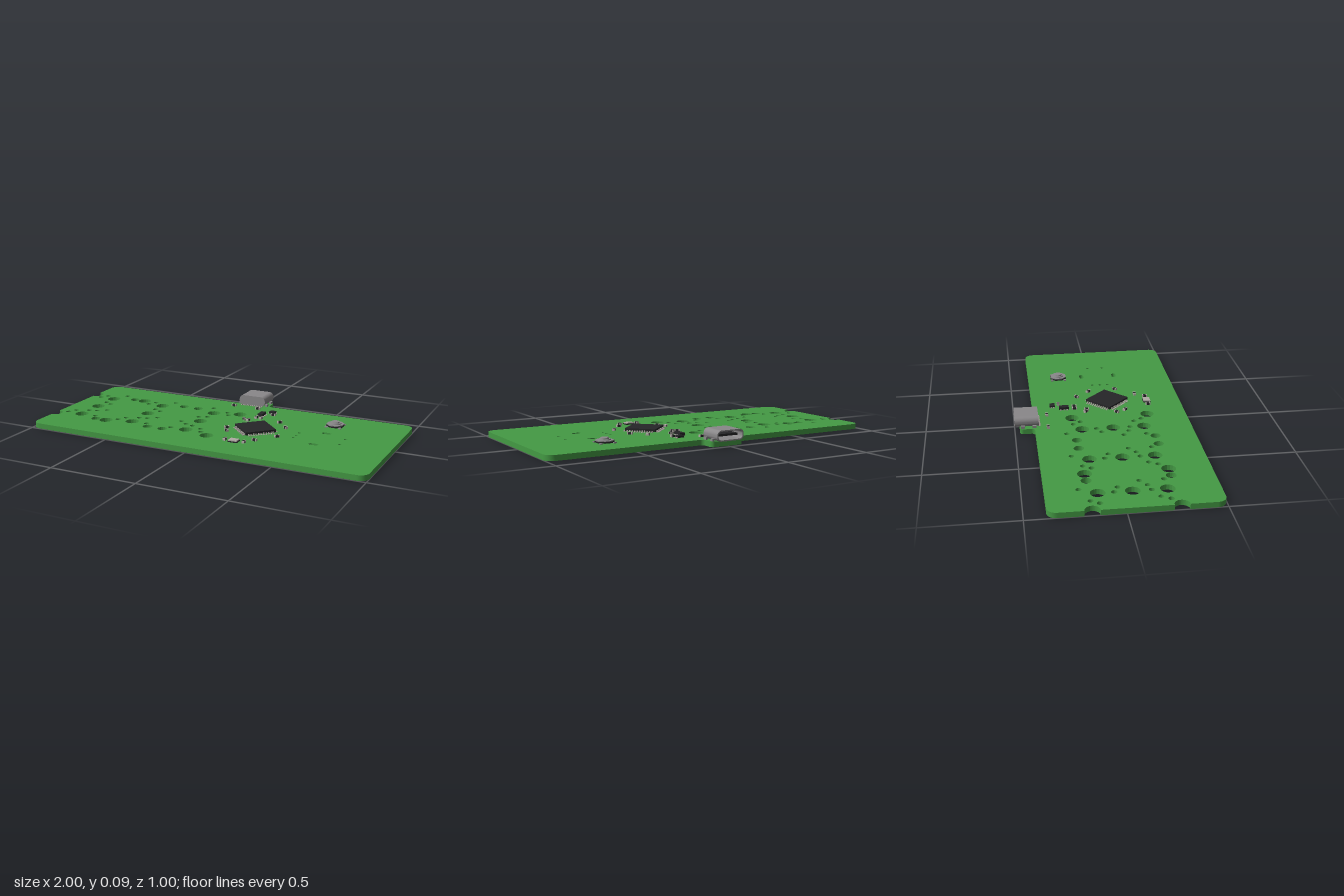
import * as THREE from 'three';

const T = 0.03; // board thickness

function material(name, color) {
  const m = new THREE.MeshStandardMaterial({ color });
  m.name = name;
  return m;
}

function roundedRect(path, w, h, r) {
  const x = w / 2 - r, y = h / 2 - r;
  path.absarc(x, y, r, 0, Math.PI / 2);
  path.absarc(-x, y, r, Math.PI / 2, Math.PI);
  path.absarc(-x, -y, r, Math.PI, Math.PI * 1.5);
  path.absarc(x, -y, r, Math.PI * 1.5, Math.PI * 2);
  path.closePath();
  return path;
}

// Outline in x and z, with a connector tab at the back and two edge notches
function boardShape() {
  const s = new THREE.Shape(), P = Math.PI, f = 0.497, b = -0.388, r = 0.05;
  s.absarc(1 - r, f - r, r, 0, P / 2);
  s.absarc(-1 + r, f - r, r, P / 2, P);
  for (const z of [0.27, -0.168]) s.absarc(-0.996, z, 0.039, P / 2 + 0.1, -P / 2 - 0.1, true);
  s.absarc(-1 + r, b + r, r, P, P * 1.5);
  s.absarc(-0.12, b - 0.02, 0.02, P / 2, 0, true);
  s.absarc(-0.08, -0.452, 0.02, P, P * 1.5);
  s.absarc(0.08, -0.452, 0.02, P * 1.5, P * 2);
  s.absarc(0.12, b - 0.02, 0.02, P, P / 2, true);
  s.absarc(1 - r, b + r, r, P * 1.5, P * 2);
  s.closePath();

  const hole = (x, z, rad) => {
    const p = new THREE.Path();
    p.absarc(x, z, rad, 0, P * 2, true);
    s.holes.push(p);
  };
  // Switch footprint [dx, dz, radius]; the third one is mirrored
  const footprint = [
    [0, 0, 0.039], [0, -0.176, 0.039], [0, 0.176, 0.039], [-0.152, -0.219, 0.039], [-0.152, 0.219, 0.039],
    [0.128, -0.219, 0.028], [0.128, 0.219, 0.028],
    [-0.096, -0.176, 0.016], [-0.096, 0.176, 0.016], [0.096, 0.176, 0.016],
    [-0.07, -0.219, 0.015], [-0.07, 0.13, 0.015], [0.045, -0.267, 0.015],
    [0, -0.093, 0.016], [0.045, -0.07, 0.015], [0.096, 0.048, 0.015], [0.048, 0.083, 0.015], [0, 0.096, 0.016],
  ];
  [[-0.842, 1], [-0.492, 1], [-0.14, -1]].forEach(([cx, m]) => {
    for (const [dx, dz, rad] of footprint) {
      if (cx + m * dx > -0.96) hole(cx + m * dx, 0.051 + dz, rad);
    }
  });
  // Encoder holes and slots
  for (const z of [0.005, 0.051, 0.098]) hole(0.458, z, 0.009);
  for (const z of [0.005, 0.098]) hole(0.726, z, 0.009);
  for (const z of [-0.051, 0.155]) {
    const p = new THREE.Path();
    p.absarc(0.61, z, 0.013, P / 2, -P / 2, true);
    p.absarc(0.583, z, 0.013, -P / 2, -P * 1.5, true);
    p.closePath();
    s.holes.push(p);
  }
  return s;
}

export function createModel() {
  const root = new THREE.Group();
  const green = material('board green', 0x449a44);
  const black = material('chip black', 0x262628);
  const steel = material('steel grey', 0x8a888a);
  const tin = material('solder silver', 0xb0aaa4);

  const part = (name, x = 0, z = 0, turn = 0) => {
    const g = new THREE.Group();
    g.name = name;
    g.position.set(x, T, z);
    g.rotation.y = turn;
    root.add(g);
    return g;
  };
  const add = (parent, name, geometry, mat, x = 0, y = 0, z = 0) => {
    const m = new THREE.Mesh(geometry, mat);
    m.name = name;
    m.position.set(x, y, z);
    parent.add(m);
    return m;
  };
  // Box resting at height y
  const box = (parent, name, mat, w, h, d, x = 0, y = 0, z = 0) =>
    add(parent, name, new THREE.BoxGeometry(w, h, d), mat, x, y + h / 2, z);

  // Circuit board
  const boardGeo = new THREE.ExtrudeGeometry(boardShape(), { depth: T, bevelEnabled: false, curveSegments: 8 });
  boardGeo.rotateX(Math.PI / 2);
  add(root, 'circuitBoard', boardGeo, green, 0, T, 0);

  // Connector: hollow shell open to the back, with a tongue and legs
  const port = part('connector', 0, -0.5);
  const ring = roundedRect(new THREE.Shape(), 0.168, 0.06, 0.027);
  ring.holes.push(roundedRect(new THREE.Path(), 0.154, 0.046, 0.02));
  add(port, 'connectorShell', new THREE.ExtrudeGeometry(ring, { depth: 0.115, bevelEnabled: false }), steel, 0, 0.031, 0);
  add(port, 'connectorRear', new THREE.ExtrudeGeometry(roundedRect(new THREE.Shape(), 0.168, 0.06, 0.027),
    { depth: 0.02, bevelEnabled: false }), steel, 0, 0.031, 0.115);
  box(port, 'connectorTongue', black, 0.12, 0.012, 0.09, 0, 0.025, 0.07);
  box(port, 'connectorInnerWall', black, 0.13, 0.04, 0.008, 0, 0.011, 0.112);
  for (const sx of [-1, 1]) for (const z of [0.045, 0.11]) box(port, 'connectorLeg', steel, 0.012, 0.02, 0.024, sx * 0.086, -0.006, z);
  for (let i = 0; i < 12; i++) box(port, 'connectorContact', tin, 0.006, 0.004, 0.014, (i - 5.5) * 0.012, 0, 0.139);

  // Processor turned by 45 degrees, with gull-wing pins on four sides
  const cpu = part('processor', 0.214, 0.062, Math.PI / 4);
  box(cpu, 'processorBody', black, 0.178, 0.016, 0.178, 0, 0.004);
  for (let side = 0; side < 4; side++) {
    const row = new THREE.Group();
    row.name = 'processorPins';
    row.rotation.y = side * Math.PI / 2;
    cpu.add(row);
    for (let i = 0; i < 11; i++) {
      const x = (i - 5) * 0.0145;
      box(row, 'pinShoulder', tin, 0.007, 0.008, 0.006, x, 0.002, 0.091);
      box(row, 'pinFoot', tin, 0.007, 0.003, 0.012, x, 0, 0.098);
    }
  }

  // Push button with a stepped round cap
  const button = part('pushButton', 0.595, -0.2);
  const can = new THREE.CylinderGeometry(0.052, 0.052, 0.008, 8).rotateY(Math.PI / 8);
  add(button, 'buttonBase', can, black, 0, 0.007, 0);
  add(button, 'buttonPlate', can.clone().scale(0.98, 0.6, 0.98), steel, 0, 0.0135, 0);
  add(button, 'buttonRim', new THREE.CylinderGeometry(0.032, 0.034, 0.006, 24), steel, 0, 0.019, 0);
  add(button, 'buttonCap', new THREE.CylinderGeometry(0.022, 0.024, 0.007, 24), steel, 0, 0.0255, 0);
  for (const sx of [-1, 1]) for (const sz of [-1, 1]) box(button, 'buttonLeg', steel, 0.016, 0.006, 0.014, sx * 0.04, 0, sz * 0.04);

  // Crystal in a ceramic package
  const crystal = part('crystal', 0.192, 0.298);
  box(crystal, 'crystalBase', black, 0.054, 0.006, 0.044);
  box(crystal, 'crystalLid', tin, 0.05, 0.006, 0.04, 0, 0.006);

  // Small protection chip and regulator with side pins
  const smallChip = (name, x, z, w, d, h, pins) => {
    const g = part(name, x, z);
    box(g, name + 'Body', black, w, h, d, 0, 0.002);
    for (const sx of [-1, 1]) for (let i = 0; i < pins; i++)
      box(g, name + 'Pin', tin, 0.008, 0.005, 0.008, sx * (w / 2 + 0.003), 0, (i - (pins - 1) / 2) * d / pins);
  };
  smallChip('protectionChip', 0.137, -0.204, 0.03, 0.056, 0.016, 3);
  smallChip('regulator', 0.178, -0.27, 0.036, 0.03, 0.012, 2);

  // Resistors and capacitors [x, z, turn]
  const q = Math.PI / 4;
  const passives = [
    [-0.097, -0.313, 0], [0.063, -0.31, 0], [0.197, -0.232, 0], [0.128, -0.142, 2 * q], [0.158, -0.142, 2 * q],
    [0.288, -0.113, q], [0.08, -0.08, -q], [0.107, -0.072, 2 * q], [0.358, -0.035, -q], [0.374, 0.13, q],
    [0.053, 0.1, q], [0.079, 0.152, -q], [0.288, 0.24, 0], [0.138, 0.298, 2 * q], [0.251, 0.296, 2 * q],
  ];
  for (const [x, z, turn] of passives) {
    const g = part('passive', x, z, turn);
    box(g, 'passiveBody', black, 0.018, 0.012, 0.015);
    for (const sx of [-1, 1]) box(g, 'passiveEnd', tin, 0.006, 0.013, 0.016, sx * 0.011);
  }
  return root;
}
